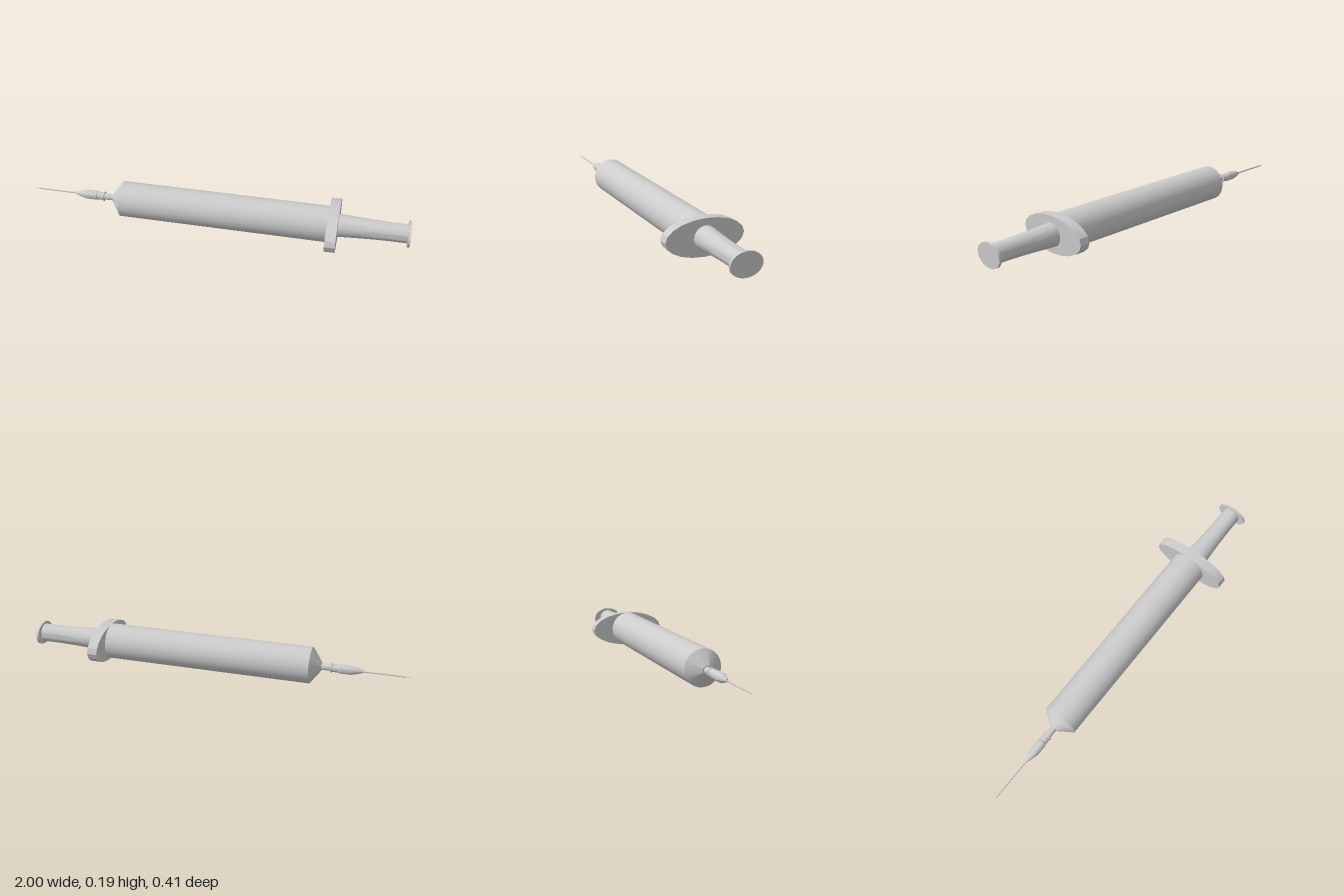
import * as THREE from 'three';
import { toCreasedNormals } from 'three/addons/utils/BufferGeometryUtils.js';

const AXIS_HEIGHT = 0.0935;

export function createModel() {
  const group = new THREE.Group();
  const material = new THREE.MeshStandardMaterial({ color: 0xcccccc });

  // Lays a part built along y onto the x axis, keeping its hard edges sharp
  function add(name, geometry, x = 0) {
    geometry.rotateZ(-Math.PI / 2);
    const mesh = new THREE.Mesh(toCreasedNormals(geometry, Math.PI / 7), material);
    mesh.name = name;
    mesh.position.set(x, AXIS_HEIGHT, 0);
    group.add(mesh);
  }

  // Turned part from [x, radius] pairs, closed at both ends
  function turned(name, profile, sides) {
    const points = profile.map(([x, r]) => new THREE.Vector2(r, x));
    points.unshift(new THREE.Vector2(0, profile[0][0]));
    points.push(new THREE.Vector2(0, profile[profile.length - 1][0]));
    add(name, new THREE.LatheGeometry(points, sides));
  }

  // Elliptical plate across the axis
  function plate(name, x0, x1, radiusY, radiusZ, sides) {
    const geometry = new THREE.CylinderGeometry(1, 1, x1 - x0, sides);
    geometry.scale(radiusY, 1, radiusZ);
    add(name, geometry, (x0 + x1) / 2);
  }

  // Needle and its hub
  turned('needle', [[-1, 0.001], [-0.97, 0.004], [-0.76, 0.004]], 12);
  turned('needleHub', [
    [-0.767, 0.007], [-0.735, 0.017], [-0.705, 0.024],
    [-0.647, 0.024], [-0.643, 0.021], [-0.612, 0.021], [-0.61, 0.025], [-0.604, 0.025],
  ], 20);

  // Nozzle, barrel with conical shoulder, and finger flange
  turned('nozzle', [[-0.61, 0.017], [-0.55, 0.017]], 20);
  turned('barrel', [[-0.556, 0.022], [-0.504, 0.0935], [0.6, 0.0935]], 40);
  plate('fingerFlange', 0.588, 0.641, 0.0935, 0.203, 20);

  // Plunger rod and thumb rest
  turned('plungerRod', [
    [0.63, 0.059], [0.68, 0.057], [0.75, 0.053], [0.82, 0.05], [0.9, 0.048], [0.992, 0.048],
  ], 32);
  plate('thumbRest', 0.988, 1, 0.06, 0.081, 32);

  return group;
}
